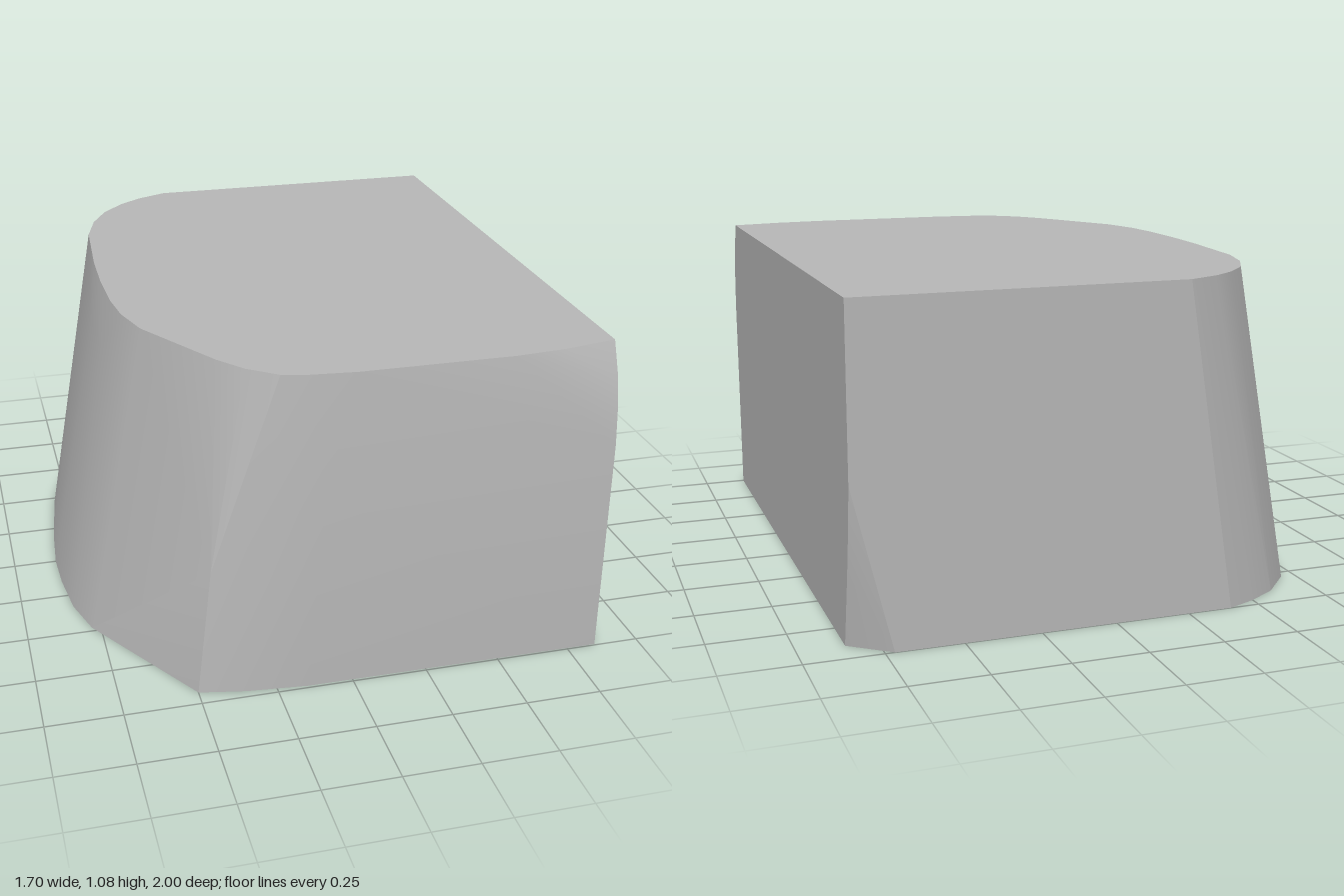
import * as THREE from 'three';
import { ConvexGeometry } from 'three/addons/geometries/ConvexGeometry.js';
import { toCreasedNormals } from 'three/addons/utils/BufferGeometryUtils.js';

const HEIGHT = 1.08;

// Outlines as [x, z], running from the back around the rounded side to the front
const bottomOutline = [
  [0.72, -1], [-0.4, -1], [-0.5, -0.96], [-0.6, -0.9], [-0.7, -0.79], [-0.77, -0.6],
  [-0.8, -0.48], [-0.835, -0.2], [-0.85, 0], [-0.845, 0.15], [-0.825, 0.33], [-0.78, 0.48],
  [-0.5, 0.94], [-0.35, 0.97], [-0.15, 0.99], [0.85, 0.995], [0.85, -0.9],
];
const topOutline = [
  [0.85, -1], [-0.23, -1], [-0.34, -0.95], [-0.42, -0.89], [-0.5, -0.8], [-0.56, -0.68],
  [-0.6, -0.53], [-0.625, -0.2], [-0.63, 0], [-0.625, 0.2], [-0.61, 0.33], [-0.57, 0.47],
  [-0.39, 0.78], [-0.32, 0.87], [-0.23, 0.94], [-0.15, 0.96], [0, 0.975], [0.5, 0.975],
  [0.67, 0.96], [0.85, 0.925],
];
// Slight bulges between the outlines, as [x, y, z]
const bulges = [
  [0.85, 0.97, 0.97], [0.85, 0.86, 0.99], [0.85, 0.75, 1], [-0.1, 0.7, 0.995], // front face
  [-0.67, 0.93, 0], [-0.665, 0.93, 0.2], [-0.45, 0.43, 0.93],                  // sloped side
  [0.85, 0.25, -0.955], [0.85, 0.4, -0.983], [0.85, 0.53, -1],                 // back corner cut
];

export function createModel() {
  const group = new THREE.Group();
  group.name = 'roundedBlock';
  const grey = new THREE.MeshStandardMaterial({ color: 0xb8b8b8 });
  grey.name = 'grey';

  const ring = (outline, y) => outline.map(([x, z]) => new THREE.Vector3(x, y, z));
  const points = [
    ...ring(bottomOutline, 0),
    ...ring(topOutline, HEIGHT),
    ...bulges.map((p) => new THREE.Vector3(...p)),
  ];

  // Solid block skinned over the outlines, with crisp corners
  const block = new THREE.Mesh(toCreasedNormals(new ConvexGeometry(points), 0.25), grey);
  block.name = 'block';
  group.add(block);
  return group;
}
